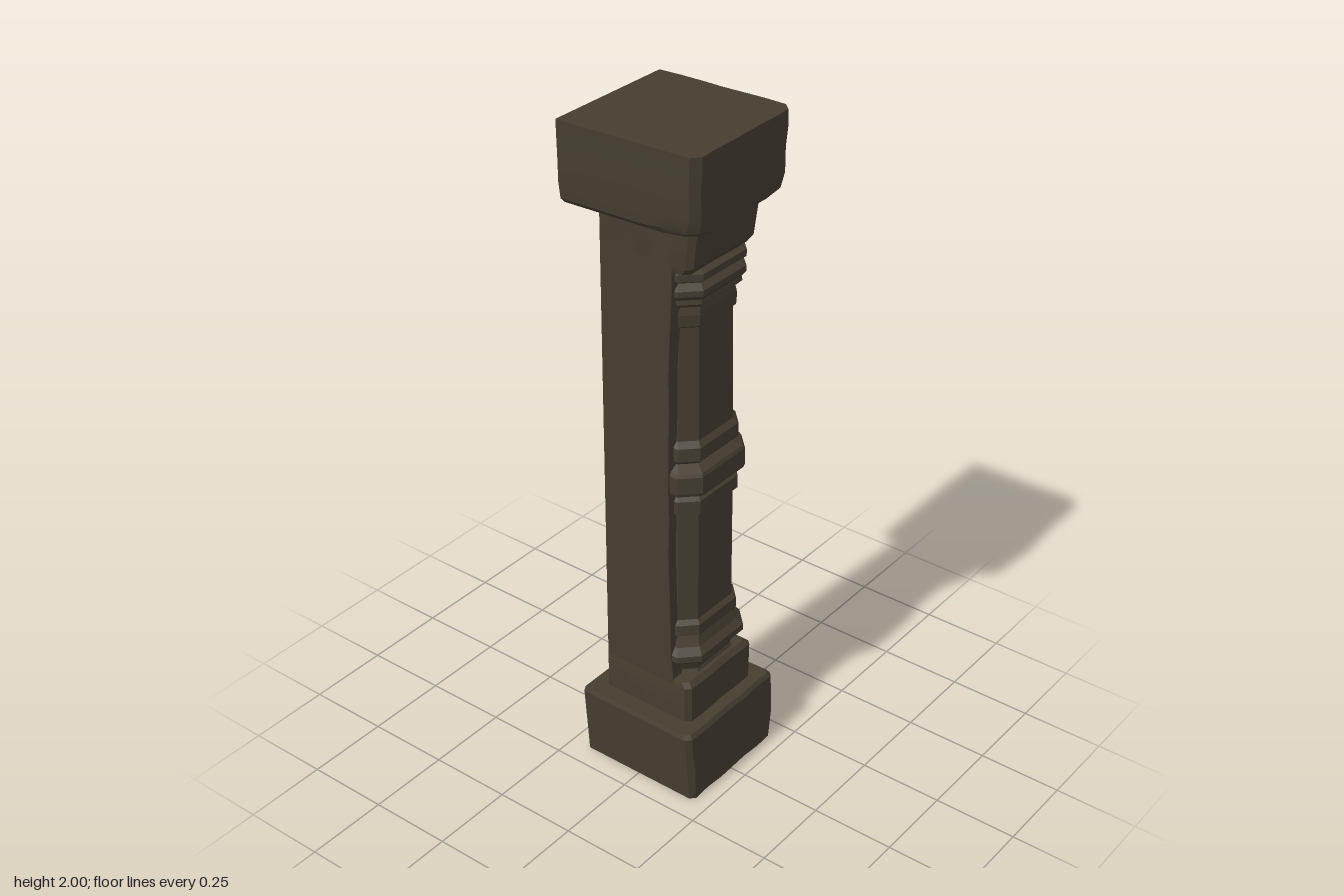
import * as THREE from 'three';
import { toCreasedNormals } from 'three/addons/utils/BufferGeometryUtils.js';

const SPLIT = 6; // pieces per ring side, so worn faces can undulate

// One horizontal ring: a rectangle with its corners cut (backLeft, frontLeft, frontRight, backRight).
function ring(y, x0, x1, z0, z1, cuts) {
  const [bl, fl, fr, br] = cuts;
  const corners = [
    [x0, z0 + bl], [x0, z1 - fl], [x0 + fl, z1], [x1 - fr, z1],
    [x1, z1 - fr], [x1, z0 + br], [x1 - br, z0], [x0 + bl, z0],
  ];
  const points = [];
  corners.forEach(([x, z], i) => {
    const [nx, nz] = corners[(i + 1) % 8];
    const n = i % 2 === 0 ? SPLIT : 1;
    for (let k = 0; k < n; k++) {
      points.push(new THREE.Vector3(x + (nx - x) * k / n, y, z + (nz - z) * k / n));
    }
  });
  // Corner order above alternates side, cut, so only the flat sides are split.
  return points;
}

// Skins a stack of rings and closes both ends.
function loft(rings, crease = 0.4) {
  const pos = [];
  const tri = (...p) => p.forEach(v => pos.push(v.x, v.y, v.z));
  const n = rings[0].length;
  for (let r = 0; r + 1 < rings.length; r++) {
    for (let i = 0; i < n; i++) {
      const j = (i + 1) % n, lo = rings[r], hi = rings[r + 1];
      tri(lo[i], lo[j], hi[j]);
      tri(lo[i], hi[j], hi[i]);
    }
  }
  const middle = pts => pts.reduce((s, p) => s.add(p), new THREE.Vector3()).divideScalar(n);
  const top = rings[rings.length - 1], bottom = rings[0];
  const topMid = middle(top), bottomMid = middle(bottom);
  for (let i = 0; i < n; i++) {
    const j = (i + 1) % n;
    tri(topMid, top[i], top[j]);
    tri(bottomMid, bottom[j], bottom[i]);
  }
  const geometry = new THREE.BufferGeometry();
  geometry.setAttribute('position', new THREE.Float32BufferAttribute(pos, 3));
  return toCreasedNormals(geometry, crease);
}

// Gentle hollows on the two exposed faces; the two wall faces stay flat.
function wear(rings, amount) {
  for (const points of rings) {
    for (const p of points) {
      const w = 1 - amount * (0.5 + 0.5 * Math.sin(37 * p.x + 29 * p.z + 41 * p.y));
      if (p.x > 0.1) p.x *= w;
      if (p.z > 0.1) p.z *= w;
    }
  }
  return rings;
}

export function createModel() {
  const group = new THREE.Group();
  const stone = new THREE.MeshStandardMaterial({ color: 0x453e30 });
  stone.name = 'dark stone';
  const add = (name, geometry) => {
    const mesh = new THREE.Mesh(geometry, stone);
    mesh.name = name;
    group.add(mesh);
  };

  // Square plinth, slightly narrower at the foot
  const worn = [0.004, 0.015, 0.012, 0.004];
  add('plinth', loft(wear([
    ring(0, -0.182, 0.2, -0.19, 0.2, worn),
    ring(0.1, -0.19, 0.204, -0.19, 0.202, worn),
    ring(0.222, -0.2, 0.204, -0.19, 0.2, worn),
    ring(0.235, -0.195, 0.195, -0.188, 0.192, worn),
  ], 0.02)));

  // Blocks below and above the shaft
  add('lowerBlock', loft(wear([
    ring(0.225, -0.145, 0.15, -0.14, 0.156, worn),
    ring(0.35, -0.145, 0.15, -0.14, 0.156, worn),
    ring(0.365, -0.14, 0.135, -0.14, 0.142, worn),
  ], 0.02)));
  add('upperBlock', loft(wear([
    ring(1.645, -0.14, 0.128, -0.14, 0.138, worn),
    ring(1.665, -0.145, 0.14, -0.14, 0.152, worn),
    ring(1.785, -0.145, 0.148, -0.14, 0.165, worn),
  ], 0.02)));

  // Capital with a rounded lower edge and a skewed plan
  const capRings = wear([
    [1.772, 0.03], [1.785, 0.012], [1.83, 0.004], [1.9, 0.003], [1.96, 0.001], [2, 0],
  ].map(([y, d]) => ring(y, -0.206 + d * 0.6, 0.209 - d, -0.215 + d * 0.2, 0.208 - d, [0.002, 0.022, 0.022, 0.003])), 0.015);
  for (const points of capRings) {
    for (const p of points) {
      p.x += p.z * (p.x < 0 ? 0.045 : 0.03);
      if (p.z > 0.1) p.z -= p.x * 0.025;
      // chipped underside along the front
      if (p.y < 1.8 && p.z > 0.1) p.y += 0.007 * Math.sin(31 * p.x + 1);
    }
  }
  add('capital', loft(capRings));

  // Eight-sided shaft with its mouldings: [height, half width]
  const profile = [
    [0.35, 0.125], [0.375, 0.114], [0.4, 0.122], [0.425, 0.146], [0.445, 0.146], [0.465, 0.13],
    [0.498, 0.118], [0.505, 0.129], [0.538, 0.128], [0.55, 0.117],
    [0.9, 0.116], [0.908, 0.127], [0.948, 0.127], [0.958, 0.116], [0.975, 0.14], [0.985, 0.143],
    [1.035, 0.143], [1.045, 0.138], [1.06, 0.114], [1.075, 0.127], [1.115, 0.127], [1.13, 0.114],
    [1.468, 0.11], [1.475, 0.117], [1.508, 0.119], [1.53, 0.115], [1.545, 0.13], [1.558, 0.128],
    [1.572, 0.138], [1.588, 0.138], [1.603, 0.122], [1.615, 0.138], [1.635, 0.138], [1.645, 0.12], [1.66, 0.12],
  ];
  const shaftRings = profile.map(([y, h]) =>
    ring(y, Math.max(-0.143, 0.005 - h), 0.005 + h, 0.01 - h, 0.012 + h, Array(4).fill(h * 0.34)));
  add('shaft', loft(shaftRings, 0.25));

  // Two flat wall slabs behind the shaft, flaring towards both ends
  const square = Array(4).fill(0.002);
  const backRings = [], sideRings = [];
  for (let i = 0; i <= 14; i++) {
    const y = 0.23 + 1.55 * i / 14;
    const flare = Math.pow(Math.abs(i - 7) / 7, 3) * 0.025 + 0.002 * Math.sin(i * 2.3);
    backRings.push(ring(y, -0.145, 0.1 + flare, -0.14, -0.1, square));
    sideRings.push(ring(y, -0.145, -0.1, -0.14, 0.082 + flare, square));
  }
  add('backSlab', loft(backRings));
  add('sideSlab', loft(sideRings));

  return group;
}
